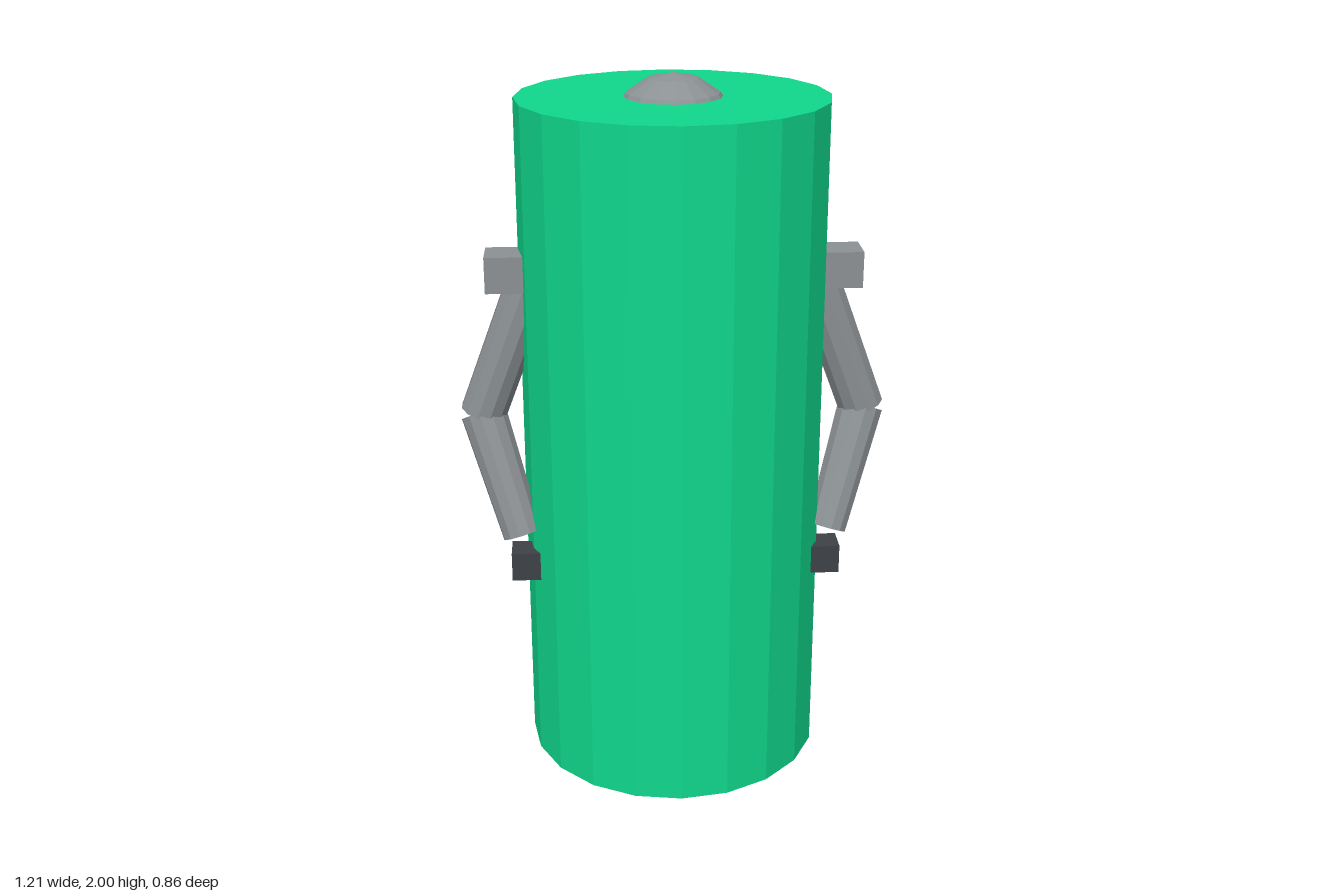
import * as THREE from 'three';

const paint = (name, color) => {
  const m = new THREE.MeshStandardMaterial({ color, flatShading: true });
  m.name = name;
  return m;
};

export function createModel() {
  const green = paint('green', 0x10d88c);
  const grey = paint('grey', 0x8c9194);
  const dark = paint('dark grey', 0x3e4248);
  const model = new THREE.Group();
  model.name = 'model';

  const add = (parent, name, geometry, material, x, y, z) => {
    const mesh = new THREE.Mesh(geometry, material);
    mesh.name = name;
    mesh.position.set(x, y, z);
    parent.add(mesh);
    return mesh;
  };

  // Tapered limb segment running from point a to point b
  const limb = (parent, name, a, b, ra, rb) => {
    const dir = b.clone().sub(a);
    const mid = a.clone().add(b).multiplyScalar(0.5);
    const geometry = new THREE.CylinderGeometry(rb, ra, dir.length(), 12);
    const mesh = add(parent, name, geometry, grey, mid.x, mid.y, mid.z);
    mesh.quaternion.setFromUnitVectors(new THREE.Vector3(0, 1, 0), dir.normalize());
  };

  // Tall faceted body with the top of a round head poking through its lid
  add(model, 'body', new THREE.CylinderGeometry(0.43, 0.43, 1.937, 20), green, 0, 0.9685, 0);
  add(model, 'head', new THREE.SphereGeometry(0.18, 16, 8), grey, 0, 1.82, 0.008);

  // Mirrored bent arms
  for (const side of [1, -1]) {
    const arm = new THREE.Group();
    arm.name = side > 0 ? 'leftArm' : 'rightArm';
    const shoulder = new THREE.Vector3(side * 0.4, 1.425, 0.023);
    const elbow = new THREE.Vector3(side * 0.544, 1.04, 0.006);
    const wrist = new THREE.Vector3(side * 0.44, 0.705, 0.117);
    add(arm, 'shoulder', new THREE.BoxGeometry(0.11, 0.102, 0.11), grey, side * 0.465, 1.47, 0.041);
    limb(arm, 'upperArm', shoulder, elbow, 0.067, 0.066);
    limb(arm, 'forearm', elbow, wrist, 0.066, 0.057);
    add(arm, 'hand', new THREE.BoxGeometry(0.084, 0.084, 0.086), dark, side * 0.43, 0.624, 0.127);
    model.add(arm);
  }
  return model;
}
